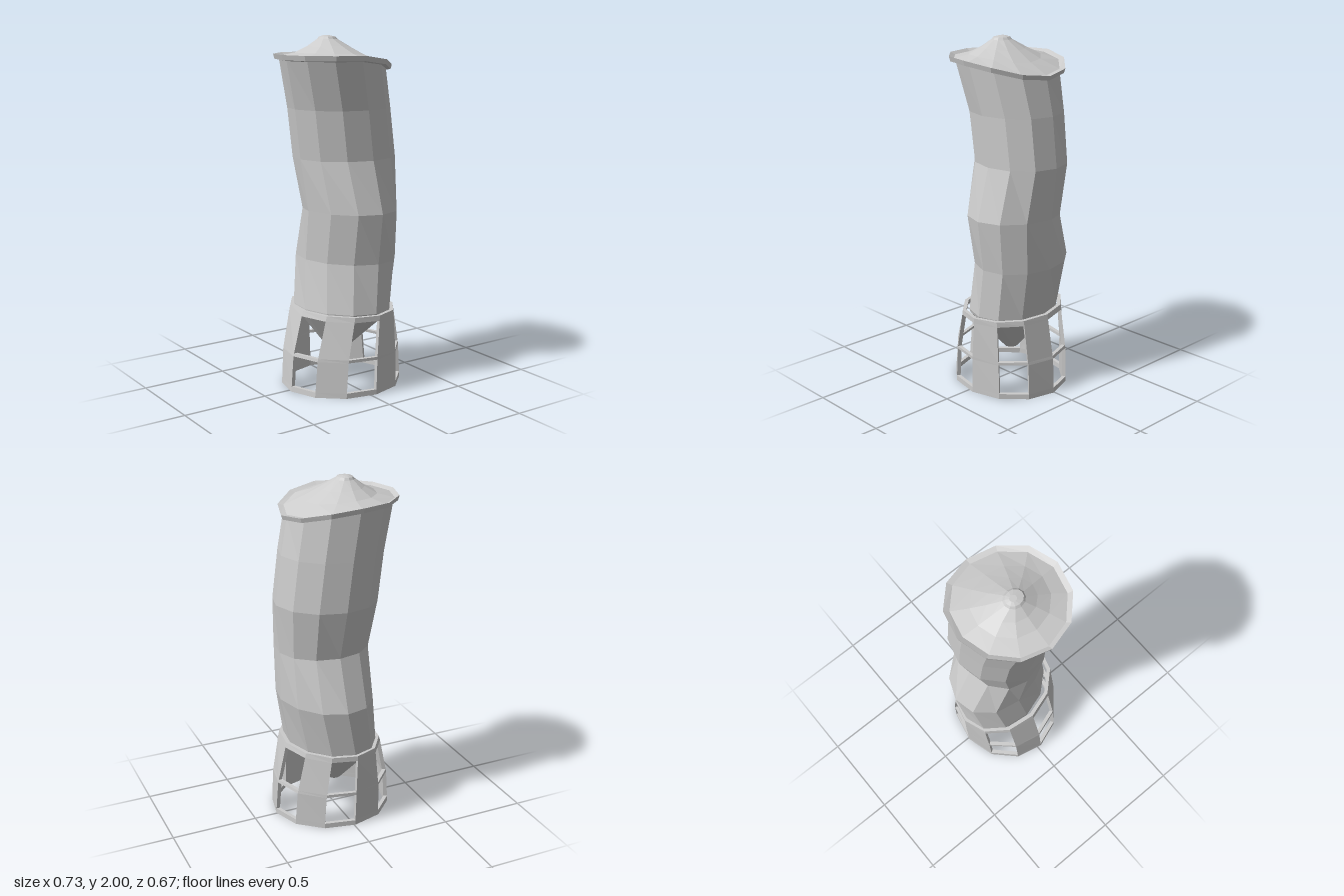
import * as THREE from 'three';

const SIDES = 12;
const material = new THREE.MeshStandardMaterial({ color: 0xcccccc, flatShading: true });

// Corner i of an elliptical ring. Optional: turn rotates it, back sets a shallower
// rear half, sx and sz skew it sideways, droop bends its +x side down
function corner(r, i, inset = 0) {
  const { turn = 0, back = r.rz, sx = 0, sz = 0, droop = 0 } = r;
  const a = (i % SIDES) * Math.PI * 2 / SIDES + turn;
  const dx = (r.rx - inset) * Math.cos(a);
  const dz = ((Math.sin(a) < 0 ? back : r.rz) - inset) * Math.sin(a);
  const x = r.cx + dx + sx * dz;
  return [x, r.y - droop * Math.max(0, x + 0.08) ** 2, r.cz + dz + sz * dx];
}

const ring = (y, cx, cz, rx, rz, extra = {}) => ({ y, cx, cz, rx, rz, ...extra });

function meshFrom(name, tris) {
  const geometry = new THREE.BufferGeometry();
  geometry.setAttribute('position', new THREE.Float32BufferAttribute(tris.flat(), 3));
  geometry.computeVertexNormals();
  const mesh = new THREE.Mesh(geometry, material);
  mesh.name = name;
  return mesh;
}

const quad = (out, a, b, c, d) => out.push(a, b, c, a, c, d);

// Skin stacked rings from bottom to top and close the lower end, optionally the upper
function loft(name, rings, closeTop) {
  const out = [];
  const first = rings[0], last = rings[rings.length - 1];
  for (let i = 0; i < SIDES; i++) {
    for (let j = 0; j < rings.length - 1; j++) {
      const lo = rings[j], hi = rings[j + 1];
      quad(out, corner(lo, i), corner(hi, i), corner(hi, i + 1), corner(lo, i + 1));
    }
    out.push([first.cx, first.y, first.cz], corner(first, i), corner(first, i + 1));
    if (closeTop) out.push([last.cx, last.y, last.cz], corner(last, i + 1), corner(last, i));
  }
  return meshFrom(name, out);
}

// Thick wall with six windows on alternate faces, each split by a crossbar
function windowedBase() {
  const turn = -0.03;
  const rings = [
    ring(0, 0.012, 0.014, 0.352, 0.322, { turn, sx: 0.03 }),
    ring(0.03, 0.013, 0.014, 0.35, 0.322, { turn, sx: 0.03 }),
    ring(0.205, 0.015, 0.01, 0.336, 0.326, { turn, sx: 0.04 }),
    ring(0.222, 0.015, 0.01, 0.332, 0.327, { turn, sx: 0.04 }),
    ring(0.43, 0.021, 0.005, 0.282, 0.33, { turn, sx: 0.07 }),
    ring(0.46, 0.022, 0.005, 0.274, 0.33, { turn, sx: 0.07 }),
  ];
  const bands = rings.length - 1;
  const solid = (i, j) => j >= 0 && j < bands && ((i + SIDES) % 2 === 0 || j % 2 === 0);
  const out = [];
  for (let i = 0; i < SIDES; i++) {
    for (let j = 0; j < bands; j++) {
      if (!solid(i, j)) continue;
      const [a, b, c, d, a2, b2, c2, d2] = [0, 0.022].flatMap((t) => [
        corner(rings[j], i, t), corner(rings[j], i + 1, t),
        corner(rings[j + 1], i + 1, t), corner(rings[j + 1], i, t),
      ]);
      quad(out, a, d, c, b);
      quad(out, a2, b2, c2, d2);
      if (!solid(i, j - 1)) quad(out, a, b, b2, a2);
      if (!solid(i, j + 1)) quad(out, d, d2, c2, c);
      if (!solid(i - 1, j)) quad(out, a, a2, d2, d);
      if (!solid(i + 1, j)) quad(out, b, c, c2, b2);
    }
  }
  return meshFrom('windowedBase', out);
}

export function createModel() {
  const group = new THREE.Group();
  group.name = 'crookedTower';
  group.add(windowedBase());

  const droop = 0.55;

  // Crooked shaft, with its funnel-shaped underside hanging inside the base
  group.add(loft('shaft', [
    ring(0.18, -0.005, -0.01, 0.038, 0.04),
    ring(0.44, 0.024, -0.002, 0.244, 0.295, { sx: 0.1, sz: 0.02 }),
    ring(0.46, 0.025, -0.003, 0.246, 0.303, { sx: 0.1, sz: 0.02 }),
    ring(0.74, 0.066, -0.022, 0.256, 0.308, { sx: 0.04, sz: 0.1 }),
    ring(1.03, 0.062, 0, 0.262, 0.323, { back: 0.217, sx: 0.05 }),
    ring(1.32, 0.057, -0.022, 0.289, 0.263, { sx: 0.06, sz: 0.03 }),
    ring(1.6, 0.022, -0.022, 0.289, 0.267, { sx: 0.05, sz: 0.02 }),
    ring(1.875, -0.032, -0.006, 0.302, 0.285, { droop }),
  ], false));

  // Drooping lid: raised overhanging lip, sagging cone and small knob
  group.add(loft('lid', [
    ring(1.865, -0.032, -0.004, 0.29, 0.275, { droop }),
    ring(1.872, -0.032, -0.004, 0.326, 0.314, { droop }),
    ring(1.9, -0.032, -0.004, 0.334, 0.321, { droop }),
    ring(1.886, -0.036, -0.004, 0.305, 0.291, { droop }),
    ring(1.907, -0.045, 0, 0.2, 0.205, { droop }),
    ring(1.942, -0.058, 0, 0.119, 0.13, { droop }),
    ring(1.98, -0.072, 0, 0.055, 0.06),
    ring(1.993, -0.073, 0, 0.043, 0.05),
    ring(2.0, -0.074, -0.008, 0.018, 0.02),
  ], true));
  return group;
}
